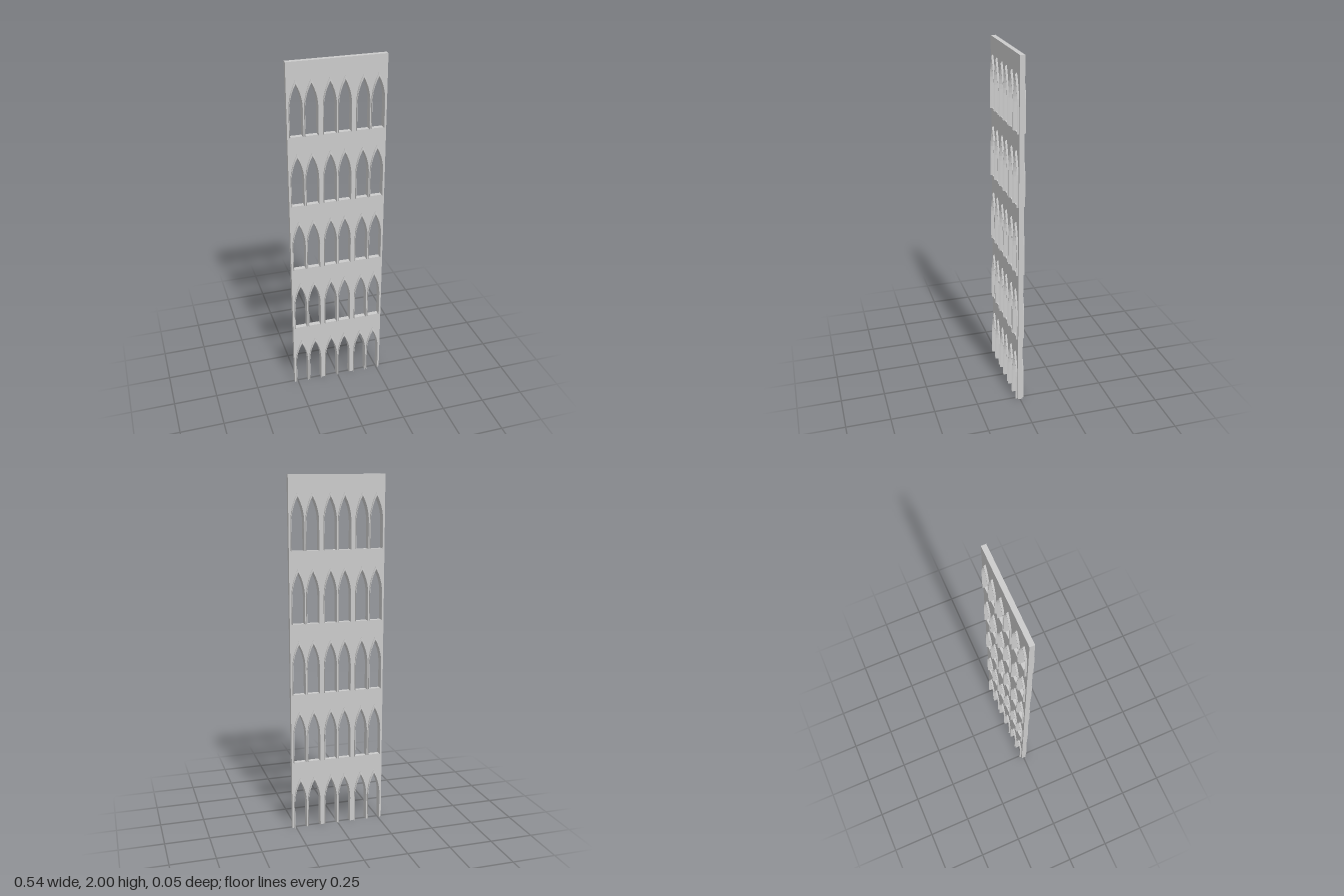
import * as THREE from 'three';

const LEVELS = 5, STEP = 0.4, SPRING = 0.15;
const CENTERS = [-0.222, -0.14, -0.0405, 0.0405, 0.14, 0.222];
const HALF_W = 0.271, WALL_Z = 0.0135, FRAME_Z = 0.0235;
const OUTER = { w: 0.0383, h: 0.304 }, INNER = { w: 0.0335, h: 0.279 };

// Pointed arch outline from left foot over the apex to right foot
function archPoints(w, h, segments = 5) {
  const rise = h - SPRING;
  const r = (w * w + rise * rise) / (2 * w);
  const end = Math.asin(rise / r);
  const right = [[w, 0]];
  for (let i = 0; i <= segments; i++) {
    const a = (end * i) / segments;
    right.push([i === segments ? 0 : w - r * (1 - Math.cos(a)), SPRING + r * Math.sin(a)]);
  }
  const left = right.slice(0, -1).map(([x, y]) => [-x, y]);
  return left.concat(right.reverse());
}

// Chamfered moulding swept along the arch; section pairs are [outer-to-inner share, z]
function frameGeometry() {
  const section = [[0, -0.017], [0, 0.017], [0.35, FRAME_Z], [0.65, FRAME_Z],
    [1, 0.017], [1, -0.017], [0.65, -FRAME_Z], [0.35, -FRAME_Z]];
  const outer = archPoints(OUTER.w, OUTER.h), inner = archPoints(INNER.w, INNER.h);
  const n = section.length, pos = [], index = [];
  outer.forEach(([ox, oy], i) => section.forEach(([t, z]) =>
    pos.push(ox + (inner[i][0] - ox) * t, oy + (inner[i][1] - oy) * t, z)));
  for (let i = 0; i < outer.length - 1; i++) {
    for (let j = 0; j < n; j++) {
      const a = i * n + j, b = i * n + (j + 1) % n;
      index.push(a, b, a + n, b, b + n, a + n);
    }
  }
  // End caps at both feet
  const last = (outer.length - 1) * n;
  for (let j = 1; j < n - 1; j++) {
    index.push(0, j + 1, j, last, last + j, last + j + 1);
  }
  const geo = new THREE.BufferGeometry();
  geo.setAttribute('position', new THREE.Float32BufferAttribute(pos, 3));
  geo.setIndex(index);
  const flat = geo.toNonIndexed();
  flat.computeVertexNormals();
  return flat;
}

// One storey of wall: the lowest arches are open at the ground, the rest stand on sills
function storeyGeometry() {
  const shape = new THREE.Shape();
  shape.moveTo(-HALF_W, 0);
  for (const c of CENTERS) {
    for (const [x, y] of archPoints(INNER.w + 0.001, INNER.h + 0.004)) shape.lineTo(c + x, y);
  }
  shape.lineTo(HALF_W, 0);
  shape.lineTo(HALF_W, STEP);
  shape.lineTo(-HALF_W, STEP);
  shape.closePath();
  const geo = new THREE.ExtrudeGeometry(shape, { depth: WALL_Z * 2, bevelEnabled: false });
  geo.translate(0, 0, -WALL_Z);
  return geo;
}

export function createModel() {
  const model = new THREE.Group();
  model.name = 'arcadeWall';
  const material = new THREE.MeshStandardMaterial({ color: 0xcccccc, flatShading: true });
  const wallGeo = storeyGeometry(), frameGeo = frameGeometry();

  for (let level = 0; level < LEVELS; level++) {
    const storey = new THREE.Group();
    storey.name = 'storey' + (level + 1);
    storey.position.y = level * STEP;
    const wall = new THREE.Mesh(wallGeo, material);
    wall.name = 'wall';
    storey.add(wall);

    // Pointed window mouldings in three pairs
    CENTERS.forEach((x, i) => {
      const frame = new THREE.Mesh(frameGeo, material);
      frame.name = 'archFrame' + (i + 1);
      frame.position.x = x;
      storey.add(frame);
    });
    model.add(storey);
  }
  return model;
}
